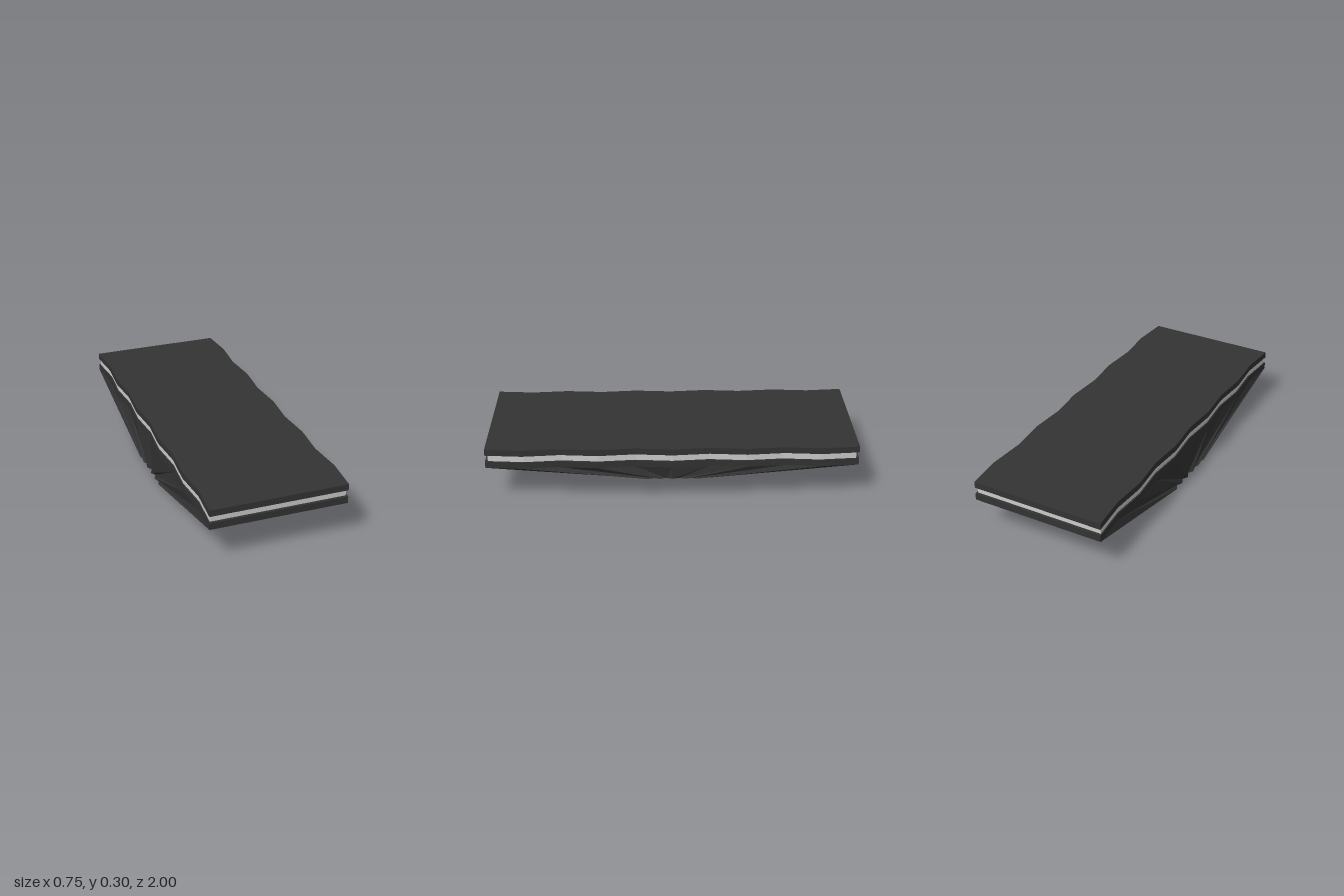
import * as THREE from 'three';

const STEPS = 10;      // zigzag segments along each long edge
const WAVE = 0.016;    // depth of the zigzag

// Closed outline, counterclockwise from above; both long edges share one zigzag.
function outline(halfX, halfZ, heightAt) {
  const left = [], right = [];
  for (let i = 0; i <= STEPS; i++) {
    const z = halfZ * (2 * i / STEPS - 1);
    const shift = i % 2 ? WAVE : 0;
    const xl = -halfX + shift, xr = halfX - WAVE + shift;
    left.push(new THREE.Vector3(xl, heightAt(xl), z));
    right.unshift(new THREE.Vector3(xr, heightAt(xr), z));
  }
  return [...left, ...right];
}

// Solid between two matching outlines, capped at both ends.
function loft(name, bottom, top, material) {
  const points = [];
  bottom.forEach((b, i) => {
    const j = (i + 1) % bottom.length;
    points.push(b, bottom[j], top[j], b, top[j], top[i]);
  });
  const flat = top.map(p => new THREE.Vector2(p.x, -p.z));
  for (const [a, b, c] of THREE.ShapeUtils.triangulateShape(flat, [])) {
    points.push(top[a], top[b], top[c], bottom[c], bottom[b], bottom[a]);
  }
  const geometry = new THREE.BufferGeometry().setFromPoints(points);
  geometry.computeVertexNormals();
  const mesh = new THREE.Mesh(geometry, material);
  mesh.name = name;
  return mesh;
}

export function createModel() {
  const group = new THREE.Group();
  group.name = 'wavyEdgedPlatform';
  const dark = new THREE.MeshStandardMaterial({ color: 0x333333, flatShading: true });
  const pale = new THREE.MeshStandardMaterial({ color: 0xcccccc, flatShading: true });

  const slab = (name, halfX, halfZ, y0, y1, material) => loft(
    name, outline(halfX, halfZ, () => y0), outline(halfX, halfZ, () => y1), material);

  // Two dark slabs with a slightly inset pale strip between them
  group.add(slab('topSlab', 0.377, 1, 0.27, 0.305, dark));
  group.add(slab('middleStrip', 0.37, 0.985, 0.234, 0.27, pale));
  group.add(slab('lowerSlab', 0.377, 1, 0.197, 0.234, dark));

  // Underside tapers to a short, sideways-tilted foot
  const tilt = x => 0.0625 + x * 0.168;
  group.add(loft('taperedUnderside',
    outline(0.372, 0.165, tilt),
    outline(0.377, 1, () => 0.197), dark));

  return group;
}
